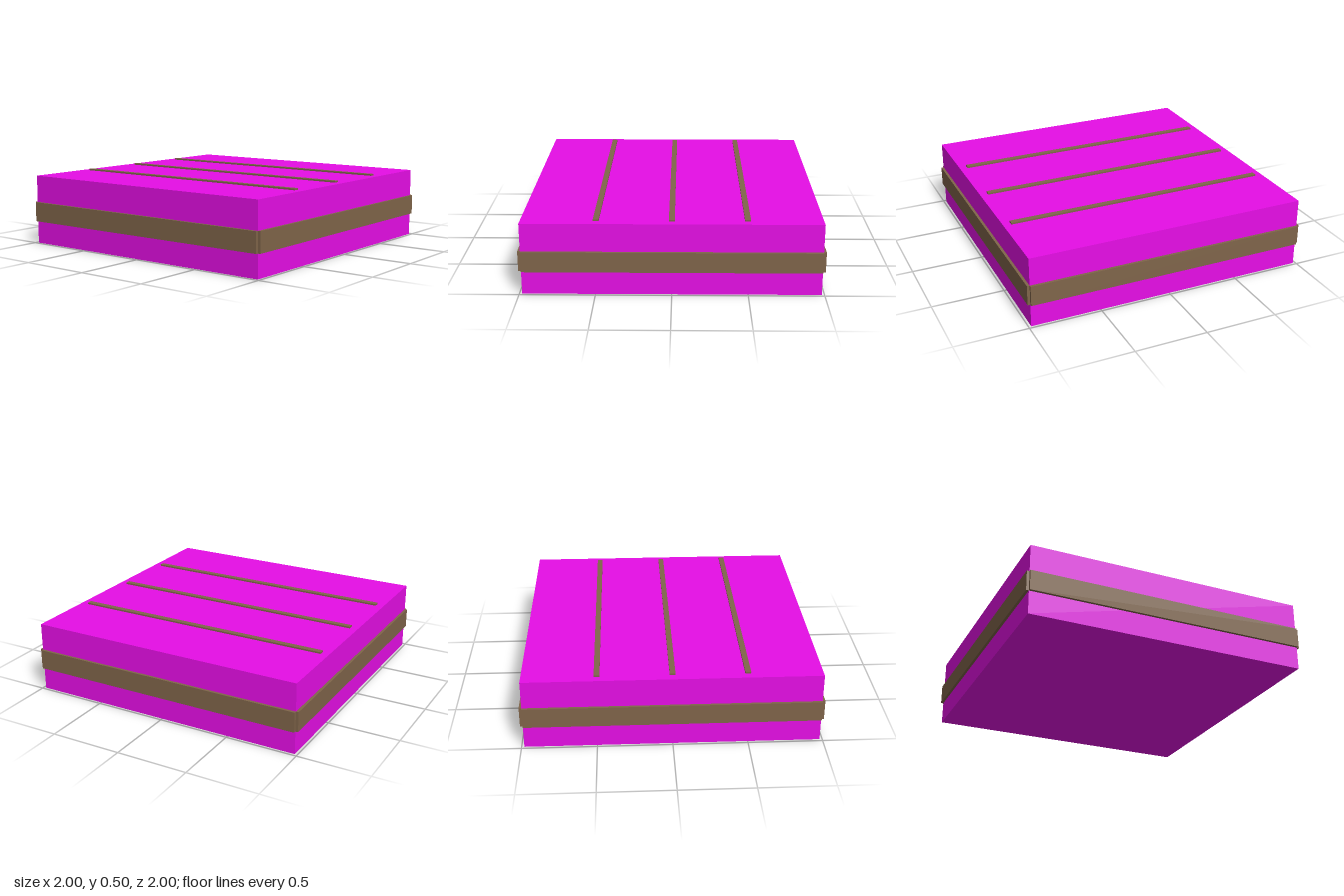
import * as THREE from 'three';

const magenta = new THREE.MeshStandardMaterial({ color: 0xe60ee6 });
const brown = new THREE.MeshStandardMaterial({ color: 0x80654a });

// Box given by its lower and upper corners
function box(name, material, [x0, y0, z0], [x1, y1, z1]) {
  const mesh = new THREE.Mesh(new THREE.BoxGeometry(x1 - x0, y1 - y0, z1 - z0), material);
  mesh.position.set((x0 + x1) / 2, (y0 + y1) / 2, (z0 + z1) / 2);
  mesh.name = name;
  return mesh;
}

export function createModel() {
  const model = new THREE.Group();
  model.name = 'slab';
  const half = 0.982, top = 0.49;

  // Main block
  model.add(box('block', magenta, [-half, 0, -half], [half, top, half]));

  // Band of four boards around the sides, leaving the corners open
  const band = new THREE.Group();
  band.name = 'band';
  ['front', 'left', 'back', 'right'].forEach((side, i) => {
    const pivot = new THREE.Group();
    pivot.name = side + 'Band';
    pivot.rotation.y = (i * Math.PI) / 2;
    pivot.add(box(side + 'Board', brown, [-half, 0.16, half - 0.002], [half, 0.299, 1]));
    band.add(pivot);
  });
  model.add(band);

  // Three thin slats across the top
  for (const z of [-0.491, 0, 0.491]) {
    model.add(box('topSlat', brown, [-0.928, top - 0.005, z - 0.019], [0.928, 0.501, z + 0.019]));
  }
  return model;
}
